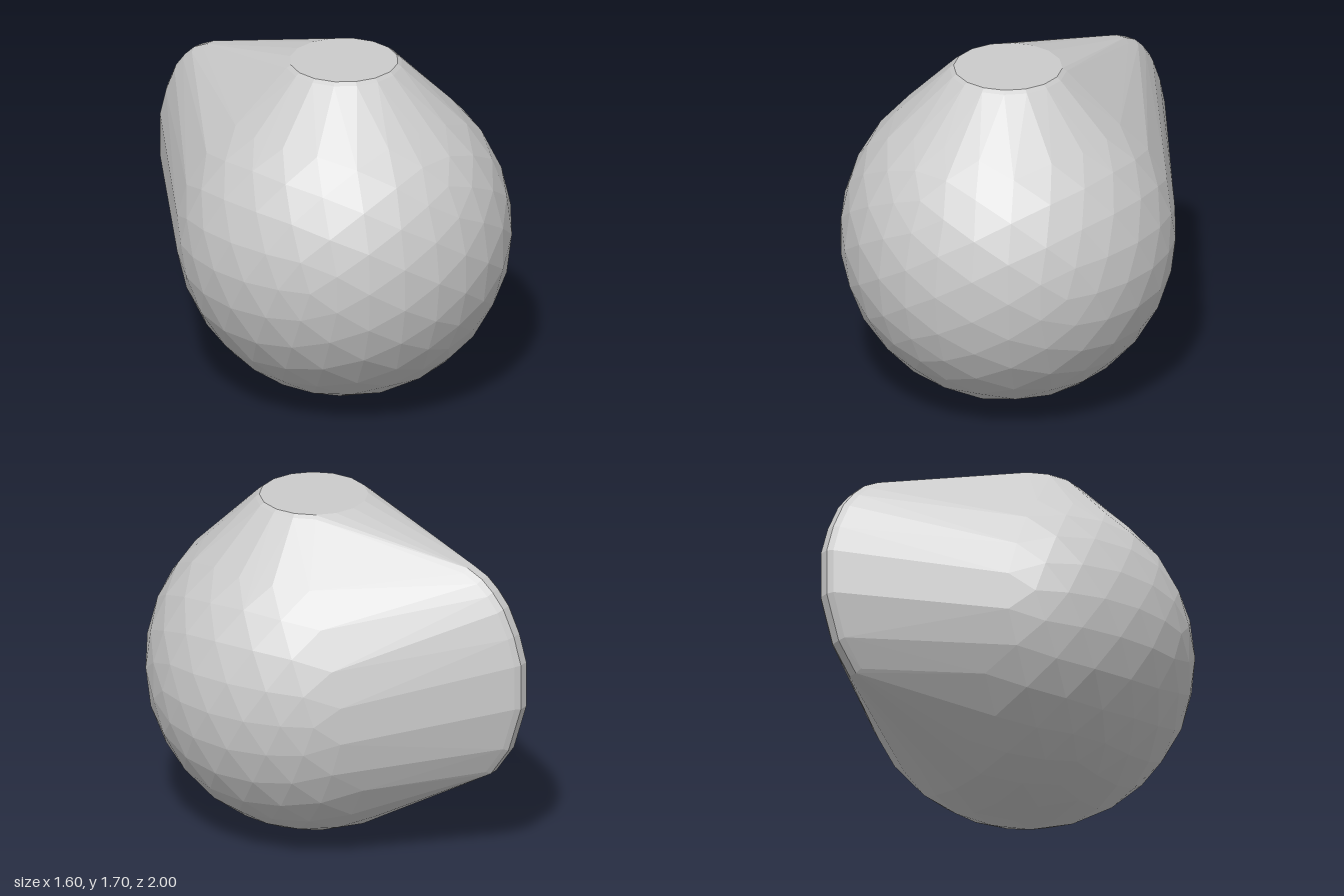
import * as THREE from 'three';
import { ConvexGeometry } from 'three/addons/geometries/ConvexGeometry.js';

const CENTRE = new THREE.Vector3(0, 0.82, 0.19);

// Faceted round belly, with a small point underneath
function bellyPoints() {
  const ball = new THREE.IcosahedronGeometry(0.815, 4);
  ball.scale(0.99, 1, 1).translate(CENTRE.x, CENTRE.y, CENTRE.z);
  const pos = ball.attributes.position;
  const seen = new Map();
  for (let i = 0; i < pos.count; i++) {
    const p = new THREE.Vector3().fromBufferAttribute(pos, i);
    seen.set(p.toArray().map((v) => Math.round(v * 1000)).join(), p);
  }
  return [...seen.values(), new THREE.Vector3(0, 0, CENTRE.z)];
}

// Flat round mouth with a narrow bevelled edge
function rimPoints(sides = 16) {
  const points = [];
  for (const [radius, y] of [[0.262, 1.7], [0.282, 1.685]]) {
    for (let i = 0; i < sides; i++) {
      const a = ((i + 0.5) / sides) * Math.PI * 2;
      points.push(new THREE.Vector3(Math.sin(a) * radius, y, CENTRE.z + Math.cos(a) * radius));
    }
  }
  return points;
}

// Narrow rounded ridge at the back: outline as [z, y]
function ridgePoints() {
  const outline = [
    [-0.70, 1.52], [-0.78, 1.48], [-0.84, 1.425], [-0.90, 1.35], [-0.96, 1.22], [-1, 1.08],
    [-1, 0.85], [-0.93, 0.62], [-0.83, 0.475], [-0.78, 0.445],
  ];
  const points = [];
  for (const [z, y] of outline) {
    const inward = new THREE.Vector3(0, 0.96 - y, -0.45 - z).normalize();
    for (const [halfWidth, depth] of [[0.025, 0], [0.052, 0.02], [0.062, 0.05]]) {
      for (const side of [-1, 1]) {
        points.push(new THREE.Vector3(side * halfWidth, y, z).addScaledVector(inward, depth));
      }
    }
  }
  return points;
}

export function createModel() {
  const group = new THREE.Group();
  group.name = 'vessel';
  // One taut convex skin stretched over belly, rim and ridge
  const shell = new THREE.Mesh(
    new ConvexGeometry([...bellyPoints(), ...rimPoints(), ...ridgePoints()]),
    new THREE.MeshStandardMaterial({ color: 0xcccccc, flatShading: true }),
  );
  shell.name = 'shell';
  group.add(shell);
  return group;
}
